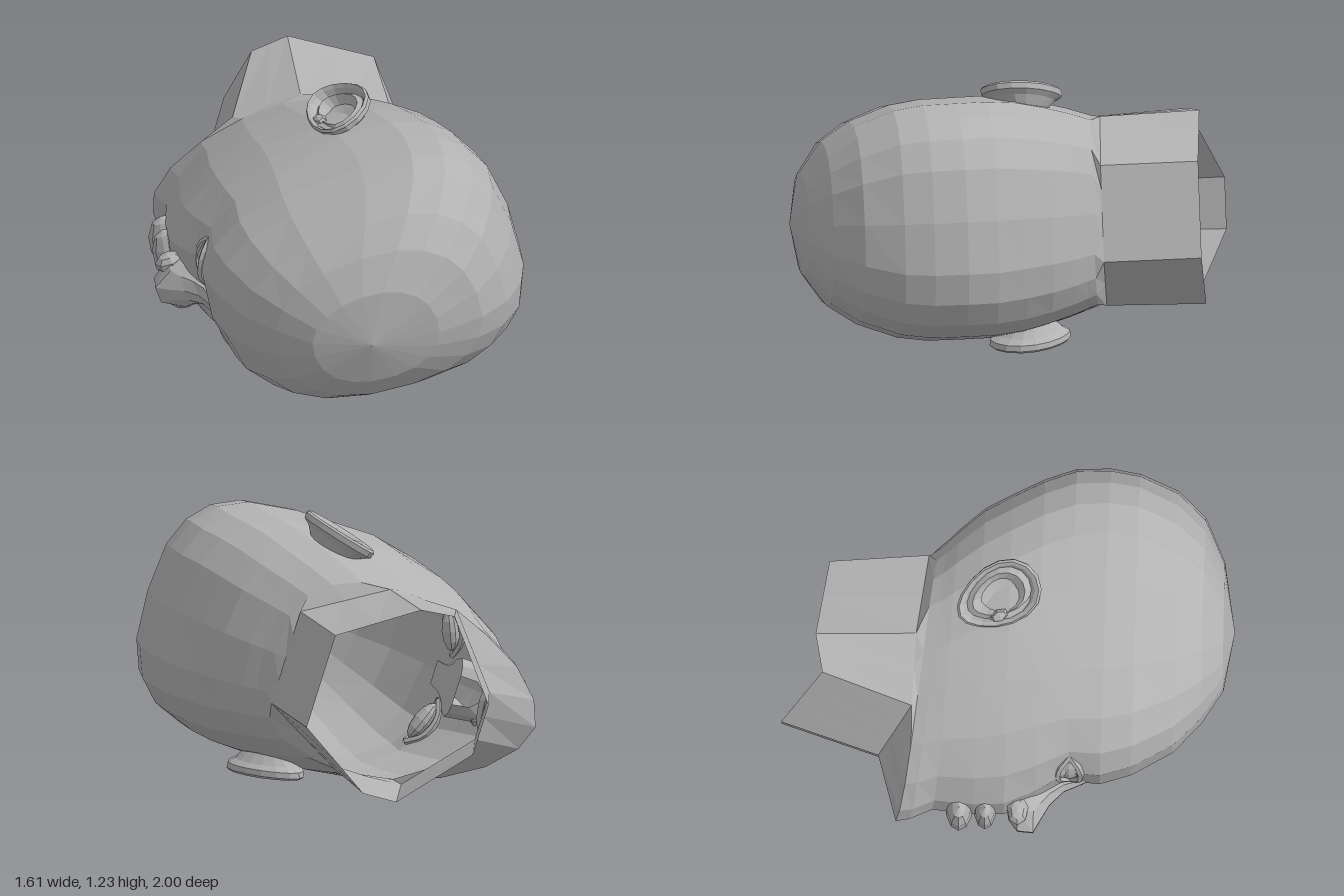
import * as THREE from 'three';

const skin = new THREE.MeshStandardMaterial({ color: 0xb2b2b2, flatShading: true, side: THREE.DoubleSide });
skin.name = 'plain grey';

// Skin a list of closed rings (arrays of [x, y, z]) into a surface
function loft(rings) {
  const n = rings[0].length, idx = [];
  for (let j = 0; j < rings.length - 1; j++) {
    for (let i = 0; i < n; i++) {
      const k = (i + 1) % n;
      const a = j * n + i, b = j * n + k, c = a + n, d = b + n;
      idx.push(a, c, b, b, c, d);
    }
  }
  const g = new THREE.BufferGeometry();
  g.setAttribute('position', new THREE.Float32BufferAttribute(rings.flat(2), 3));
  g.setIndex(idx);
  g.computeVertexNormals();
  return g;
}

function add(parent, name, geometry, pos = [0, 0, 0], scale = [1, 1, 1]) {
  const m = new THREE.Mesh(geometry, skin);
  m.name = name;
  m.position.set(...pos);
  m.scale.set(...scale);
  parent.add(m);
  return m;
}

const mirror = (pts) => pts.map(([x, y, z]) => [x, -y, z]).reverse();

// Neck ring of 20 points through front panel, jaw corner, side and back panel
function neckSlice([front, jaw, side, back]) {
  const stops = [0, 1, 4, 6, 8, 10];
  const pts = [[front[0], 0, front[2]], front, jaw, side, back, [back[0], 0, back[2]]];
  const half = [pts[0]];
  for (let k = 0; k < 5; k++) {
    const steps = stops[k + 1] - stops[k];
    for (let i = 1; i <= steps; i++) {
      half.push(pts[k].map((v, c) => v + ((pts[k + 1][c] - v) * i) / steps));
    }
  }
  return [...half, ...mirror(half.slice(1, 10))];
}

const neckRings = [
  [[-0.6, 0.115, -1], [-0.385, 0.435, -0.82], [-0.215, 0.43, -0.855], [0.115, 0.215, -0.805]],
  [[-0.735, 0.11, -0.565], [-0.52, 0.41, -0.42], [-0.2, 0.42, -0.41], [0.155, 0.215, -0.365]],
];

// Horizontal slice of the head: front and back ends, half width, widest place, squareness
function slice([xf, zf, xb, zb, w, mid, nf, nb]) {
  const N = 20, pts = [];
  for (let i = 0; i < N; i++) {
    const p = (i / N) * Math.PI * 2, c = Math.cos(p), s = Math.sin(p);
    const e = 2 / (c > 0 ? nf : nb);
    const end = c > 0 ? xf : xb;
    pts.push([
      mid + (end - mid) * Math.abs(c) ** e,
      w * Math.sign(s) * Math.abs(s) ** e,
      zf + (zb - zf) * ((1 - c) / 2) ** 0.6,
    ]);
  }
  return pts;
}

// Chin, mouth, cheeks, brow and crown
const slices = [
  [-1.02, -0.48, 0.2, -0.32, 0.425, -0.28, 1.8, 2.7],
  [-1.01, -0.42, 0.235, -0.28, 0.44, -0.27, 1.85, 2.7],
  [-0.965, -0.32, 0.285, -0.23, 0.462, -0.24, 2, 2.7],
  [-0.98, -0.14, 0.38, -0.12, 0.497, -0.17, 2.1, 2.7],
  [-0.975, 0, 0.445, 0, 0.525, -0.1, 2.15, 2.7],
  [-0.91, 0.14, 0.515, 0.14, 0.537, -0.04, 2.4, 2.8],
  [-0.82, 0.28, 0.565, 0.28, 0.537, 0.01, 2.8, 2.8],
  [-0.83, 0.42, 0.57, 0.43, 0.535, 0.04, 2.8, 2.8],
  [-0.785, 0.56, 0.55, 0.56, 0.515, 0.04, 2.8, 2.8],
  [-0.68, 0.74, 0.48, 0.73, 0.45, 0, 2.6, 2.6],
  [-0.55, 0.86, 0.365, 0.855, 0.365, -0.05, 2.4, 2.4],
  [-0.4, 0.955, 0.17, 0.945, 0.23, -0.1, 2.2, 2.2],
  [-0.141, 0.998, -0.139, 0.998, 0.001, -0.14, 2, 2],
];

// Nose slice: tip, half width and flat base
function noseSlice([z, tip, w]) {
  const base = -0.78, side = (tip * 2 + base) / 3;
  const half = [[tip, w * 0.4, z], [side, w, z], [base, w * 1.1, z]];
  return [...half, ...mirror(half)];
}

// Ear ring: egg outline, narrow at the lobe, at a given size and height
function earRing([size, h]) {
  const pts = [];
  for (let i = 0; i < 16; i++) {
    const p = (i / 16) * Math.PI * 2, s = Math.sin(p);
    pts.push([0.14 * size * Math.cos(p) * (1 + 0.2 * s), h, 0.2 * size * s]);
  }
  return pts;
}

function makeEar() {
  const ear = new THREE.Group();
  ear.name = 'ear';
  add(ear, 'earShell', loft([
    [0.5, -0.09], [0.8, -0.03], [0.98, -0.01], [1, 0.015], [0.94, 0.025], [0.84, 0.012], [0.76, -0.015],
    [0.62, 0.004], [0.42, -0.035], [0.01, -0.045],
  ].map(earRing)));
  add(ear, 'tragus', new THREE.SphereGeometry(1, 6, 4), [-0.085, -0.005, -0.04], [0.03, 0.025, 0.045]);
  ear.position.set(-0.025, 0.542, -0.05);
  ear.rotation.set(-0.15, 0.5, 0.28);
  return ear;
}

function makeEye() {
  const eye = new THREE.Group();
  eye.name = 'eye';
  add(eye, 'eyeball', new THREE.SphereGeometry(1, 10, 6), [0.01, 0, 0], [0.04, 0.095, 0.045]);
  // Upper and lower lids bow around the eyeball
  for (const s of [1, -1]) {
    const arc = [[0.01, -0.12, 0], [-0.025, -0.05, 0.045 * s], [-0.025, 0.05, 0.045 * s], [0.01, 0.12, 0]];
    const path = new THREE.CatmullRomCurve3(arc.map((p) => new THREE.Vector3(...p)));
    add(eye, s > 0 ? 'upperLid' : 'lowerLid', new THREE.TubeGeometry(path, 8, 0.016, 5));
  }
  eye.position.set(-0.775, 0.215, 0.285);
  eye.rotation.z = -0.4;
  return eye;
}

export function createModel() {
  const model = new THREE.Group();
  model.name = 'recliningHead';
  const head = new THREE.Group();
  head.name = 'head';
  model.add(head);

  add(head, 'skullAndNeck', loft([...neckRings.map(neckSlice), ...slices.map(slice)]));

  add(head, 'nose', loft([
    [0, -0.9, 0.06], [0.02, -1.0, 0.1], [0.06, -1.05, 0.125], [0.13, -1.055, 0.105],
    [0.16, -1.0, 0.08], [0.2, -0.93, 0.065], [0.26, -0.87, 0.055], [0.37, -0.82, 0.05],
  ].map(noseSlice)));

  const lip = new THREE.SphereGeometry(1, 10, 6);
  add(head, 'upperLip', lip, [-0.955, 0, -0.085], [0.09, 0.18, 0.05]);
  add(head, 'lowerLip', lip, [-0.955, 0, -0.2], [0.1, 0.17, 0.06]);

  // Paired features, mirrored across the middle of the face
  for (const s of [1, -1]) {
    const half = new THREE.Group();
    half.name = s > 0 ? 'upperSide' : 'lowerSide';
    half.scale.y = s;
    half.add(makeEar(), makeEye());
    add(half, 'nostrilWing', new THREE.SphereGeometry(1, 7, 5), [-0.96, 0.105, 0.06], [0.07, 0.045, 0.05]);
    head.add(half);
  }

  // The head lies on its side, rolled slightly face down
  head.rotation.z = THREE.MathUtils.degToRad(18);
  head.position.set(0.22, 0.598, 0);
  return model;
}
